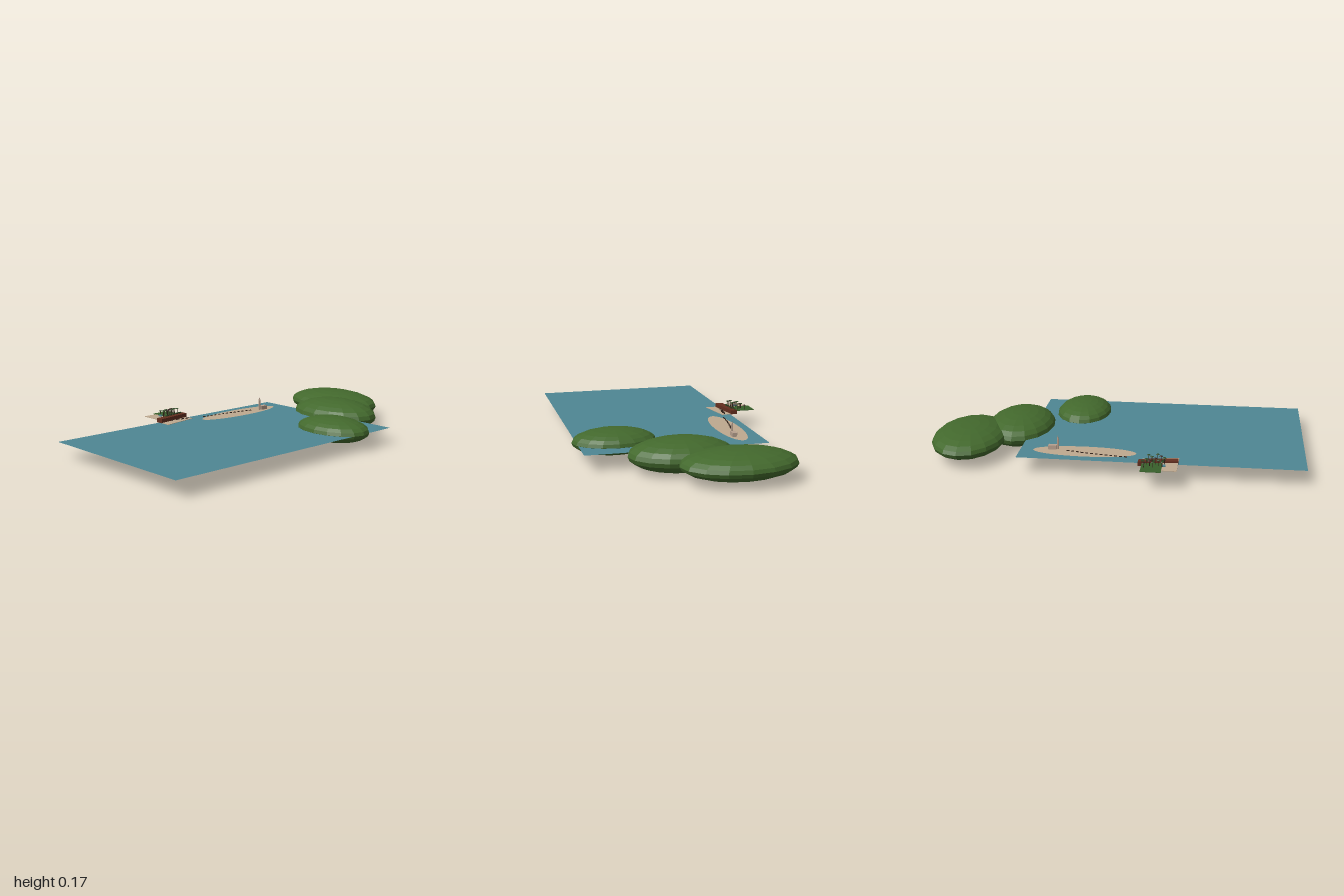
import * as THREE from 'three';

const mat = (name, color, extra = {}) => new THREE.MeshStandardMaterial({ name, color, ...extra });

export function createModel() {
  const model = new THREE.Group();
  model.name = 'coastalBay';
  const water = mat('water', 0x4f8793, { side: THREE.DoubleSide });
  const hill = mat('hillGreen', 0x43692d, { flatShading: true });
  const sand = mat('sand', 0xbfa98f, { side: THREE.DoubleSide });
  const brick = mat('brick', 0x642f1f, { side: THREE.DoubleSide });
  const lawn = mat('lawn', 0x38602b, { side: THREE.DoubleSide });
  const bark = mat('bark', 0x33231b);
  const leaf = mat('leaf', 0x2f4a26);
  const stone = mat('stone', 0xb7a08e);

  const add = (name, geo, material, x = 0, y = 0, z = 0, parent = model) => {
    const mesh = new THREE.Mesh(geo, material);
    mesh.name = name;
    mesh.position.set(x, y, z);
    parent.add(mesh);
    return mesh;
  };
  const box = (name, w, h, d, material, x, y, z, parent) =>
    add(name, new THREE.BoxGeometry(w, h, d), material, x, y, z, parent);
  // Horizontal slab from [x, z] outline points, rising from y by height
  const slab = (name, pts, y, height, material) => {
    const shape = new THREE.Shape(pts.map(([x, z]) => new THREE.Vector2(x, -z)));
    const geo = new THREE.ExtrudeGeometry(shape, { depth: height, bevelEnabled: false });
    geo.rotateX(-Math.PI / 2);
    return add(name, geo, material, 0, y, 0);
  };

  // Sea
  const sea = new THREE.PlaneGeometry(0.965, 1.49);
  sea.rotateX(-Math.PI / 2);
  add('sea', sea, water, 0.06, 0.086, 0.255);

  // Wooded hills: x, y, z, then radii
  [
    [-0.153, 0.087, -0.8, 0.297, 0.073, 0.2],
    [0.071, 0.085, -0.565, 0.27, 0.085, 0.187],
    [0.345, 0.087, -0.247, 0.222, 0.067, 0.155],
  ].forEach(([x, y, z, rx, ry, rz], i) => {
    const geo = new THREE.SphereGeometry(1, 16, 12);
    geo.scale(rx, ry, rz);
    add('hill' + (i + 1), geo, hill, x, y, z);
  });

  // Sand bar
  const bar = new THREE.CircleGeometry(1, 40);
  bar.rotateX(-Math.PI / 2);
  bar.scale(0.071, 1, 0.274);
  add('sandBar', bar, sand, -0.305, 0.0885, -0.147);

  // Line of stakes along the sand bar
  for (let i = 0; i < 13; i++) {
    const t = i / 12;
    const stake = box('stake', 0.006, 0.004, 0.014, bark,
      -0.305 - 0.052 * t - 0.006 * Math.sin(t * Math.PI), 0.09, -0.235 + 0.31 * t);
    stake.rotation.y = -0.25 + 0.35 * (i % 2);
  }

  // Chapel with a tall spire
  const chapel = new THREE.Group();
  chapel.name = 'chapel';
  chapel.position.set(-0.284, 0.088, -0.32);
  model.add(chapel);
  box('nave', 0.025, 0.022, 0.045, stone, 0, 0.011, 0, chapel);
  box('tower', 0.009, 0.056, 0.009, stone, 0, 0.028, 0.028, chapel);
  const spire = new THREE.ConeGeometry(0.0064, 0.02, 4);
  spire.rotateY(Math.PI / 4);
  add('spire', spire, stone, 0, 0.066, 0.028, chapel);

  // Sea wall, beach and terraces
  slab('seaWall', [[-0.463, 0.15], [-0.426, 0.15], [-0.394, 0.352], [-0.437, 0.352]], 0.087, 0.023, brick);
  slab('beach', [[-0.426, 0.15], [-0.373, 0.15], [-0.336, 0.352], [-0.394, 0.352]], 0.087, 0.002, sand);
  slab('terrace', [[-0.55, 0.275], [-0.448, 0.275], [-0.437, 0.352], [-0.55, 0.352]], 0.1, 0.003, sand);
  slab('lawn', [[-0.573, 0.17], [-0.46, 0.17], [-0.446, 0.275], [-0.573, 0.275]], 0.1, 0.003, lawn);
  box('pool', 0.02, 0.006, 0.014, water, -0.492, 0.106, 0.285);

  // Slender trees with flat crowns
  for (let i = 0; i < 12; i++) {
    const x = -0.518 + 0.0075 * i;
    const z = 0.185 + 0.1 * ((i * 5) % 12) / 11;
    const base = x > -0.46 ? 0.11 : 0.102;
    const top = 0.128 + 0.0014 * i;
    box('trunk', 0.003, top - base, 0.003, bark, x, (top + base) / 2, z);
    const crown = new THREE.CylinderGeometry(0.007, 0.01, 0.003, 6);
    add('crown', crown, i % 3 ? leaf : bark, x, top, z);
  }

  // Low hedge along the top of the wall
  for (let i = 0; i < 5; i++)
    box('hedge', 0.009, 0.006, 0.016, leaf, -0.455 + 0.004 * i, 0.113, 0.175 + 0.026 * i);

  // Bathers on the beach
  for (let i = 0; i < 9; i++)
    box('bather', 0.005, 0.005, 0.011, bark,
      -0.392 - 0.0025 * i + 0.008 * (i % 2), 0.091, 0.168 + 0.015 * i).rotation.y = i % 2 ? 0.6 : -0.5;

  return model;
}
